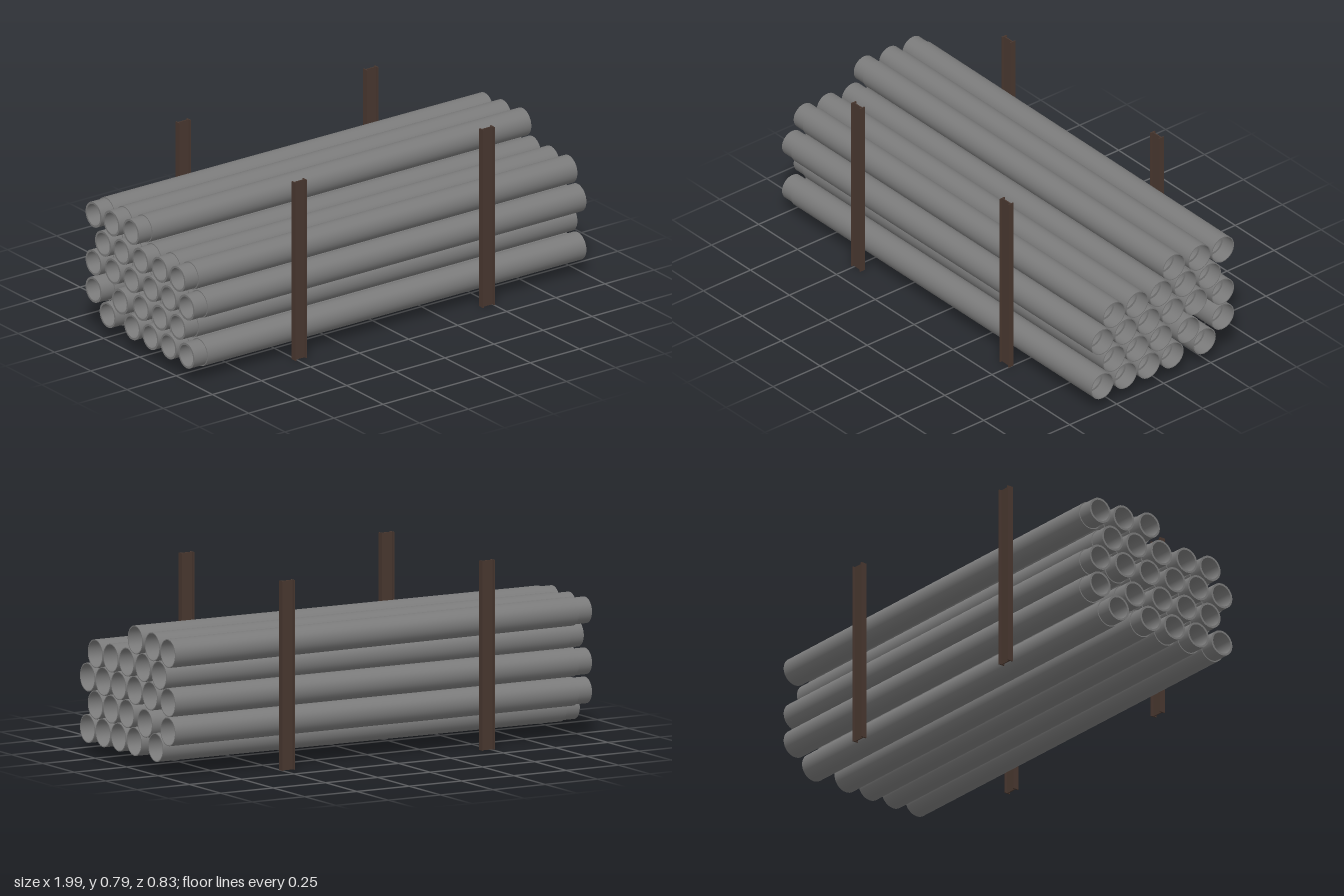
import * as THREE from 'three';
import { mergeGeometries } from 'three/addons/utils/BufferGeometryUtils.js';

const steel = new THREE.MeshStandardMaterial({ color: 0x7a7a7a });
steel.name = 'pipeGrey';
const rust = new THREE.MeshStandardMaterial({ color: 0x48372f });
rust.name = 'postBrown';

const X0 = -1, X1 = 0.994, LENGTH = X1 - X0;

// Pipe along y: narrow spigot at the start, wider socket at the far end.
// Each profile segment is its own lathe so that the edges stay sharp.
function pipeGeometry() {
  const profile = [
    [0.046, 0], [0.055, 0], [0.055, 0.065], [0.0595, 0.065], [0.0595, LENGTH],
    [0.0555, LENGTH], [0.0555, LENGTH - 0.065], [0.046, LENGTH - 0.065], [0.046, 0],
  ].map(([r, y]) => new THREE.Vector2(r, y));
  const bands = [];
  for (let i = 0; i < profile.length - 1; i++) {
    bands.push(new THREE.LatheGeometry([profile[i], profile[i + 1]], 36));
  }
  return mergeGeometries(bands);
}

// Pipe centres [z, y] at the socket end, with optional [dz, dy] drift at the spigot end
const pipes = [
  [0.321, 0.1125], [0.197, 0.1125], [0.074, 0.1125, -0.002, 0], [-0.051, 0.1125, -0.002, 0.002], [-0.222, 0.1125],
  [0.259, 0.2195], [0.136, 0.2195], [0.010, 0.2195, -0.003, 0], [-0.136, 0.2005], [-0.319, 0.192],
  [0.321, 0.326], [0.197, 0.326], [0.074, 0.326], [-0.053, 0.325, -0.006, -0.004],
  [-0.176, 0.320, -0.010, -0.002], [-0.319, 0.313],
  [0.259, 0.432], [0.136, 0.432], [0.010, 0.434, -0.007, -0.006], [-0.120, 0.430, -0.007, -0.006],
  [-0.249, 0.416, -0.005, 0.002],
  [-0.0585, 0.536, -0.002, -0.002], [-0.195, 0.527], [-0.319, 0.517, 0, 0.008],
];

// Upright H-section post: two flanges joined by a web
function makePost(x, z) {
  const post = new THREE.Group();
  post.name = 'post';
  const height = 0.788, width = 0.06, depth = 0.026, t = 0.005;
  const add = (name, w, d, px) => {
    const mesh = new THREE.Mesh(new THREE.BoxGeometry(w, height, d), rust);
    mesh.name = name;
    mesh.position.set(px, height / 2, 0);
    post.add(mesh);
  };
  add('leftFlange', t, depth, (width - t) / 2);
  add('rightFlange', t, depth, -(width - t) / 2);
  add('web', width - 2 * t, t, 0);
  post.position.set(x, 0, z);
  return post;
}

export function createModel() {
  const model = new THREE.Group();
  model.name = 'pipeStack';

  // Stacked pipes
  const geometry = pipeGeometry();
  const up = new THREE.Vector3(0, 1, 0);
  for (const [z, y, dz = 0, dy = 0] of pipes) {
    const pipe = new THREE.Mesh(geometry, steel);
    pipe.name = 'pipe';
    const start = new THREE.Vector3(X0, y + dy, z + dz);
    const end = new THREE.Vector3(X1, y, z);
    pipe.position.copy(start);
    pipe.quaternion.setFromUnitVectors(up, end.sub(start).normalize());
    model.add(pipe);
  }

  // Four retaining posts
  for (const x of [-0.483, 0.473]) {
    for (const z of [-0.4, 0.4]) model.add(makePost(x, z));
  }
  return model;
}
